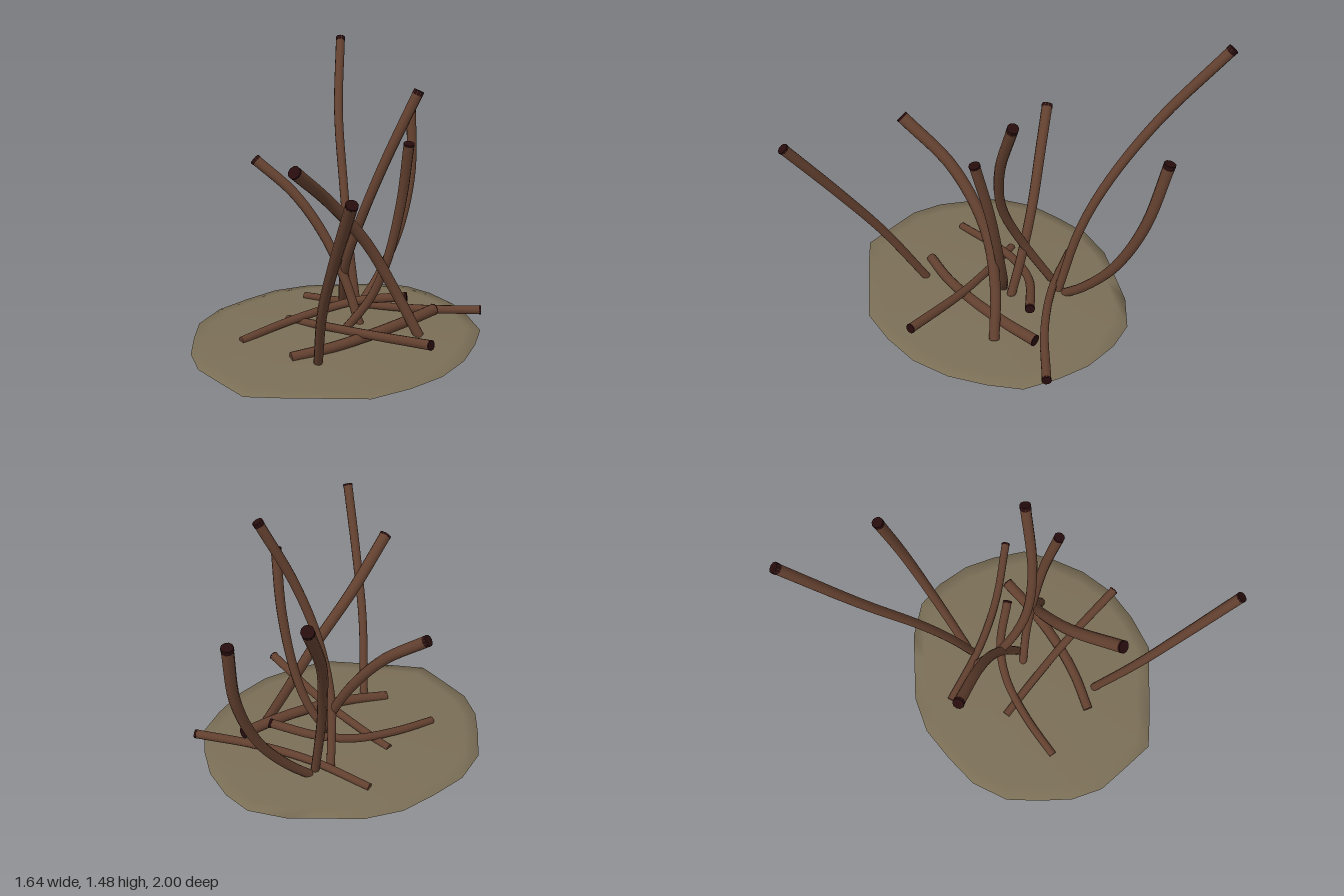
import * as THREE from 'three';

const soil = new THREE.MeshStandardMaterial({ color: 0x7a6e56 });
soil.name = 'soil';
const bark = new THREE.MeshStandardMaterial({ color: 0x62402f });
bark.name = 'bark';
const cutEnd = new THREE.MeshStandardMaterial({ color: 0x260c0d });
cutEnd.name = 'cut end';

// Rim of the mound as x, z pairs
const RIM = [
  [-0.01, -0.675], [0.2, -0.64], [0.44, -0.52], [0.56, -0.46], [0.72, -0.32], [0.78, -0.16],
  [0.8, 0.04], [0.77, 0.22], [0.71, 0.41], [0.57, 0.54], [0.4, 0.66], [0.2, 0.74],
  [-0.01, 0.76], [-0.23, 0.745], [-0.43, 0.62], [-0.59, 0.52], [-0.75, 0.41], [-0.79, 0.22],
  [-0.825, 0.04], [-0.79, -0.14], [-0.7, -0.31], [-0.6, -0.47], [-0.42, -0.59], [-0.22, -0.64],
];
// Mound rings from the top centre, over the rim, to the bottom centre: scale, height
const RINGS = [[0, 0.038], [0.45, 0.029], [0.9, 0.012], [1, 0.004], [0.92, 0], [0, 0]];

// Upright stems: points from base to tip, radius, depth of the dark tip
const UPRIGHT = [
  [[[-0.28, 0.02, 0.32], [-0.37, 0.4, 0.52], [-0.43, 0.73, 0.73], [-0.49, 1.09, 0.975]], 0.028, 0.012],
  [[[0.355, 0.02, 0.32], [0.25, 0.28, 0.23], [0.1, 0.56, 0.18], [-0.14, 0.83, 0.205], [-0.41, 1.06, 0.33]], 0.033, 0.012],
  [[[0.07, 0.02, 0.03], [0.17, 0.2, 0.11], [0.225, 0.42, 0.18], [0.255, 0.78, 0.265], [0.24, 1.12, 0.345]], 0.028, 0.012],
  [[[0.2, 0.02, -0.23], [0.115, 0.35, -0.06], [0.12, 0.65, 0.08], [0.21, 0.98, 0.17], [0.38, 1.355, 0.225]], 0.028, 0.025],
  [[[0.28, 0.02, -0.2], [0.295, 0.4, -0.32], [0.345, 0.7, -0.46], [0.45, 1.06, -0.69], [0.635, 1.465, -0.975]], 0.028, 0.025],
  [[[0.32, 0.02, -0.215], [0.44, 0.14, -0.235], [0.62, 0.39, -0.28], [0.745, 0.72, -0.34], [0.79, 1.1, -0.415]], 0.03, 0.025],
  [[[0.15, 0.02, 0.04], [0.12, 0.25, -0.06], [0.05, 0.51, -0.19], [-0.06, 0.73, -0.33], [-0.21, 0.905, -0.505]], 0.03, 0.02],
];

// Fallen stems lying across the mound
const FALLEN = [
  [[[-0.51, 0.028, -0.105], [-0.25, 0.055, -0.13], [0, 0.085, -0.12], [0.2, 0.125, -0.05], [0.41, 0.165, 0.12]], 0.026, 0.015],
  [[[-0.38, 0.035, 0.215], [-0.15, 0.052, 0.255], [0.1, 0.07, 0.26], [0.34, 0.08, 0.235], [0.545, 0.085, 0.195]], 0.032, 0.004],
  [[[-0.165, 0.03, -0.22], [-0.07, 0.06, 0.02], [0.03, 0.1, 0.3], [0.145, 0.18, 0.71]], 0.026, 0.006],
  [[[0.08, 0.03, -0.46], [0.28, 0.05, -0.15], [0.5, 0.06, 0.09], [0.785, 0.075, 0.32]], 0.025, 0.012],
];

// Closed mound with smooth shared normals
function createMound() {
  const n = RIM.length, pos = [], index = [];
  for (const [s, y] of RINGS) for (const [x, z] of RIM) pos.push(x * s, y, z * s);
  for (let r = 0; r < RINGS.length - 1; r++) {
    for (let i = 0; i < n; i++) {
      const a = r * n + i, b = r * n + (i + 1) % n;
      if (RINGS[r][0] > 0) index.push(a, b, b + n);
      if (RINGS[r + 1][0] > 0) index.push(a, b + n, a + n);
    }
  }
  const geo = new THREE.BufferGeometry();
  geo.setAttribute('position', new THREE.Float32BufferAttribute(pos, 3));
  geo.setIndex(index);
  geo.computeVertexNormals();
  // Straight normals at the two centres
  for (let i = 0; i < n; i++) {
    geo.attributes.normal.setXYZ(i, 0, 1, 0);
    geo.attributes.normal.setXYZ((RINGS.length - 1) * n + i, 0, -1, 0);
  }
  const mesh = new THREE.Mesh(geo, soil);
  mesh.name = 'mound';
  return mesh;
}

// Short plug closing one end of a stem
function createPlug(name, point, direction, radius, length, material) {
  const plug = new THREE.Mesh(new THREE.CylinderGeometry(radius, radius, length, 10), material);
  plug.name = name;
  plug.position.copy(point).addScaledVector(direction, 0.001 - length / 2);
  plug.quaternion.setFromUnitVectors(new THREE.Vector3(0, 1, 0), direction);
  return plug;
}

// Curved stem, slightly thinner at its base, with a dark cut tip
function createStem(name, points, radius, tipDepth) {
  const stem = new THREE.Group();
  stem.name = name;
  const curve = new THREE.CatmullRomCurve3(points.map((p) => new THREE.Vector3(...p)));
  const steps = 20, sides = 10;
  const geo = new THREE.TubeGeometry(curve, steps, radius, sides);
  const pos = geo.attributes.position, v = new THREE.Vector3();
  for (let i = 0; i < pos.count; i++) {
    const t = Math.floor(i / (sides + 1)) / steps;
    v.fromBufferAttribute(pos, i).lerp(curve.getPointAt(t), 0.15 * (1 - t));
    pos.setXYZ(i, v.x, v.y, v.z);
  }
  const stalk = new THREE.Mesh(geo, bark);
  stalk.name = 'stalk';
  stem.add(
    stalk,
    createPlug('stalkBase', curve.getPoint(0), curve.getTangent(0).negate(), radius * 0.84, 0.01, bark),
    createPlug('cutTip', curve.getPoint(1), curve.getTangent(1), radius * 1.04, tipDepth, cutEnd),
  );
  return stem;
}

export function createModel() {
  const model = new THREE.Group();
  model.name = 'stemCluster';
  model.add(createMound());
  UPRIGHT.forEach((spec, i) => model.add(createStem(`uprightStem${i + 1}`, ...spec)));
  FALLEN.forEach((spec, i) => model.add(createStem(`fallenStem${i + 1}`, ...spec)));
  return model;
}
